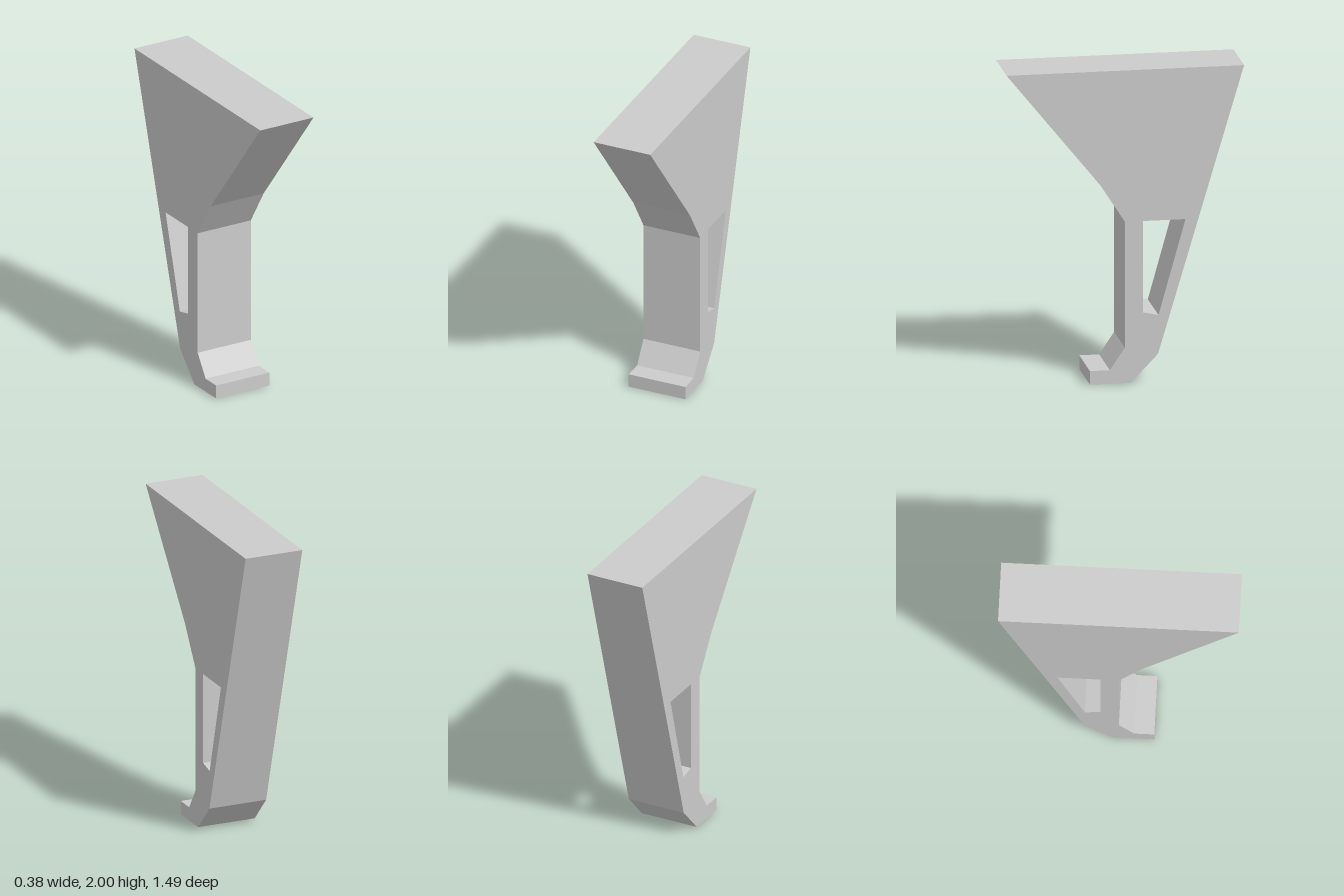
import * as THREE from 'three';

const WIDTH = 0.385;
const toPoints = (list) => list.map(([z, y]) => new THREE.Vector2(z, y));

export function createModel() {
  const group = new THREE.Group();
  group.name = 'bracketLeg';

  // Side outline as (z, y): toe, sole, heel, back edge, top, flared front, shin
  const profile = new THREE.Shape(toPoints([
    [0.222, 0.087], [0.222, 0], [-0.035, 0], [-0.205, 0.178],
    [-0.745, 2], [0.745, 2], [0.155, 1.27],
    [0.003, 1.032], [0.003, 0.227], [0.097, 0.087],
  ].reverse()));

  // Tapered window through the web
  profile.holes.push(new THREE.Path(toPoints([
    [-0.112, 1.032], [-0.377, 1.032], [-0.208, 0.426], [-0.112, 0.448],
  ])));

  // Extrude across the width, then turn the profile to face sideways
  const geometry = new THREE.ExtrudeGeometry(profile, { depth: WIDTH, bevelEnabled: false });
  geometry.translate(0, 0, -WIDTH / 2);
  geometry.rotateY(-Math.PI / 2);

  const body = new THREE.Mesh(
    geometry,
    new THREE.MeshStandardMaterial({ color: 0xcccccc, flatShading: true }),
  );
  body.name = 'legBody';
  group.add(body);
  return group;
}
